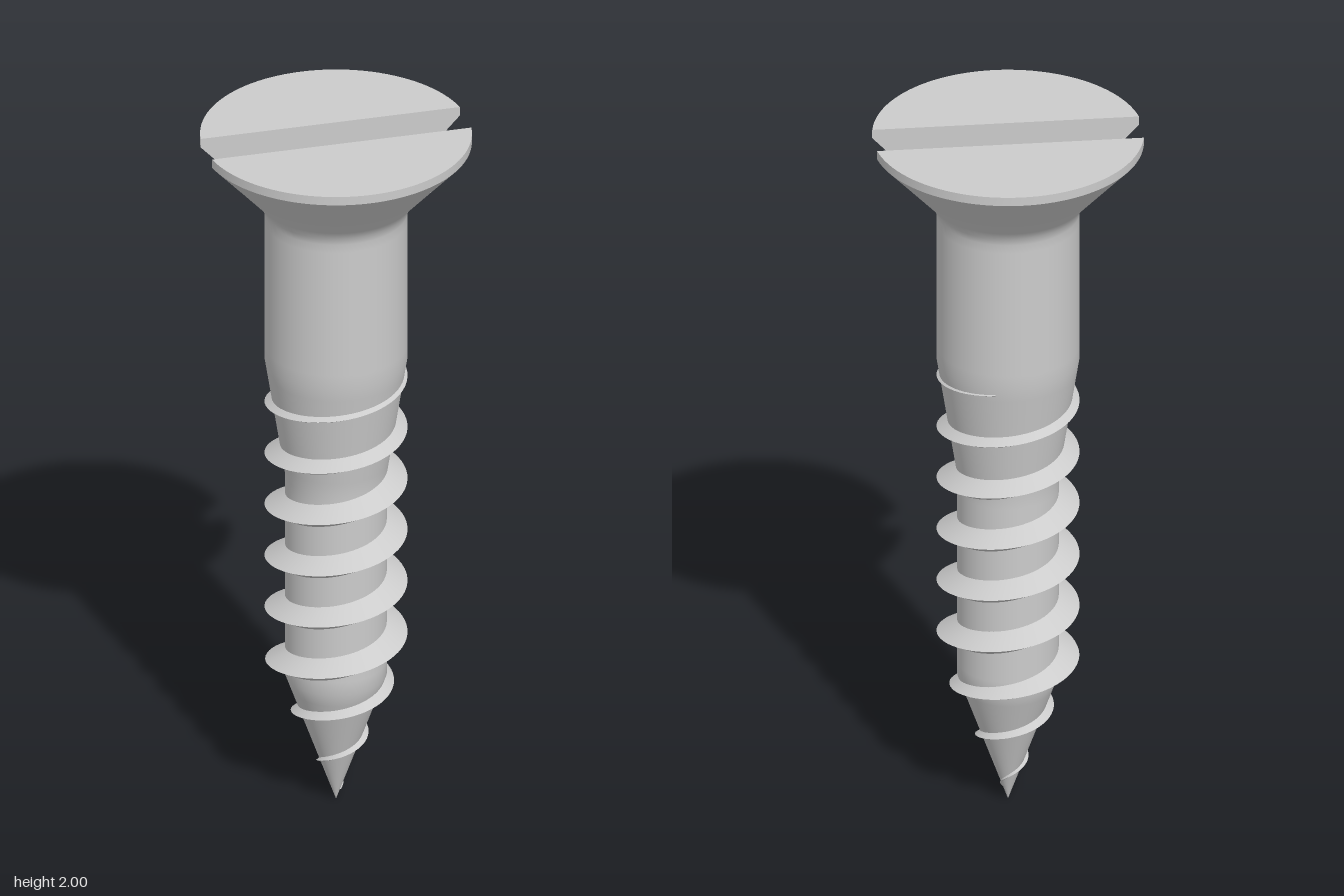
import * as THREE from 'three';

const material = new THREE.MeshStandardMaterial({ color: 0xcccccc });
const TIP = 0.38, PITCH = 0.154, SLOT = 0.06, FLOOR = 1.9;

// Surface through rows of points; every band has its own vertices, so rows are sharp edges
function bandedSurface(rows, columns, point) {
  const positions = [], indices = [];
  for (let r = 0; r < rows - 1; r++) {
    const base = positions.length / 3, n = columns + 1;
    for (const row of [r, r + 1]) {
      for (let c = 0; c <= columns; c++) positions.push(...point(row, c / columns));
    }
    for (let c = 0; c < columns; c++) {
      const a = base + c, b = a + n;
      indices.push(a, a + 1, b + 1, a, b + 1, b);
    }
  }
  const geometry = new THREE.BufferGeometry();
  geometry.setAttribute('position', new THREE.Float32BufferAttribute(positions, 3));
  geometry.setIndex(indices);
  geometry.computeVertexNormals();
  return geometry;
}

// Radius of the core at a given height
function coreRadius(y) {
  if (y < TIP) return 0.135 * y / TIP;
  return 0.135 + 0.055 * THREE.MathUtils.clamp((y - 0.98) / 0.35, 0, 1);
}

function addMesh(group, name, geometry) {
  const mesh = new THREE.Mesh(geometry, material);
  mesh.name = name;
  group.add(mesh);
  return mesh;
}

export function createModel() {
  const screw = new THREE.Group();
  screw.name = 'woodScrew';

  // Pointed core, smooth shank and lower head, closed at the slot floor
  const profile = [0, 0.1, 0.2, 0.34, 0.38, 0.42, 0.94, 0.98, 1.02, 1.29, 1.33, 1.37, 1.74]
    .map(y => new THREE.Vector2(coreRadius(y), y));
  for (const [r, y] of [[0.19, 1.765], [0.195, 1.786], [0.21, 1.81], [0.292, FLOOR], [0.292, FLOOR], [0, FLOOR]]) {
    profile.push(new THREE.Vector2(r, y));
  }
  addMesh(screw, 'shank', new THREE.LatheGeometry(profile, 64));

  // Helical thread: lower flank, crest, upper flank, fading out at both ends
  const start = 0.03, end = 1.31, turns = (end - start) / PITCH;
  const phase = (start - 0.47) / PITCH * Math.PI * 2;
  addMesh(screw, 'thread', bandedSurface(3, Math.round(turns * 56), (row, t) => {
    const y = start + (end - start) * t;
    const angle = phase + turns * t * Math.PI * 2;
    const crest = Math.min(0.19, 0.442 * y);
    const depth = Math.max(crest - coreRadius(y), 0.001);
    const halfWidth = 0.6 * depth + 0.002;
    const height = y + (row - 1) * halfWidth;
    const radius = row === 1 ? crest : Math.max(coreRadius(height) - 0.003, 0);
    return [radius * Math.sin(angle), height, radius * Math.cos(angle)];
  }));

  // Two head halves on either side of the slot: cone, rim, top, then slot wall
  const sections = [
    [0.292, FLOOR, false], [0.361, 1.975, false], [0.361, 2, false],
    [0.361, 2, true], [0.361, 1.975, true], [0.292, FLOOR, true],
  ];
  for (const [name, turn] of [['headFrontHalf', 0], ['headBackHalf', Math.PI]]) {
    const half = addMesh(screw, name, bandedSurface(sections.length, 48, (row, t) => {
      const [radius, y, onWall] = sections[row];
      const edge = Math.asin(SLOT / radius);
      const angle = Math.PI - edge - (Math.PI - 2 * edge) * t;
      return [radius * Math.cos(angle), y, onWall ? SLOT : radius * Math.sin(angle)];
    }));
    half.rotation.y = turn;
  }
  return screw;
}
